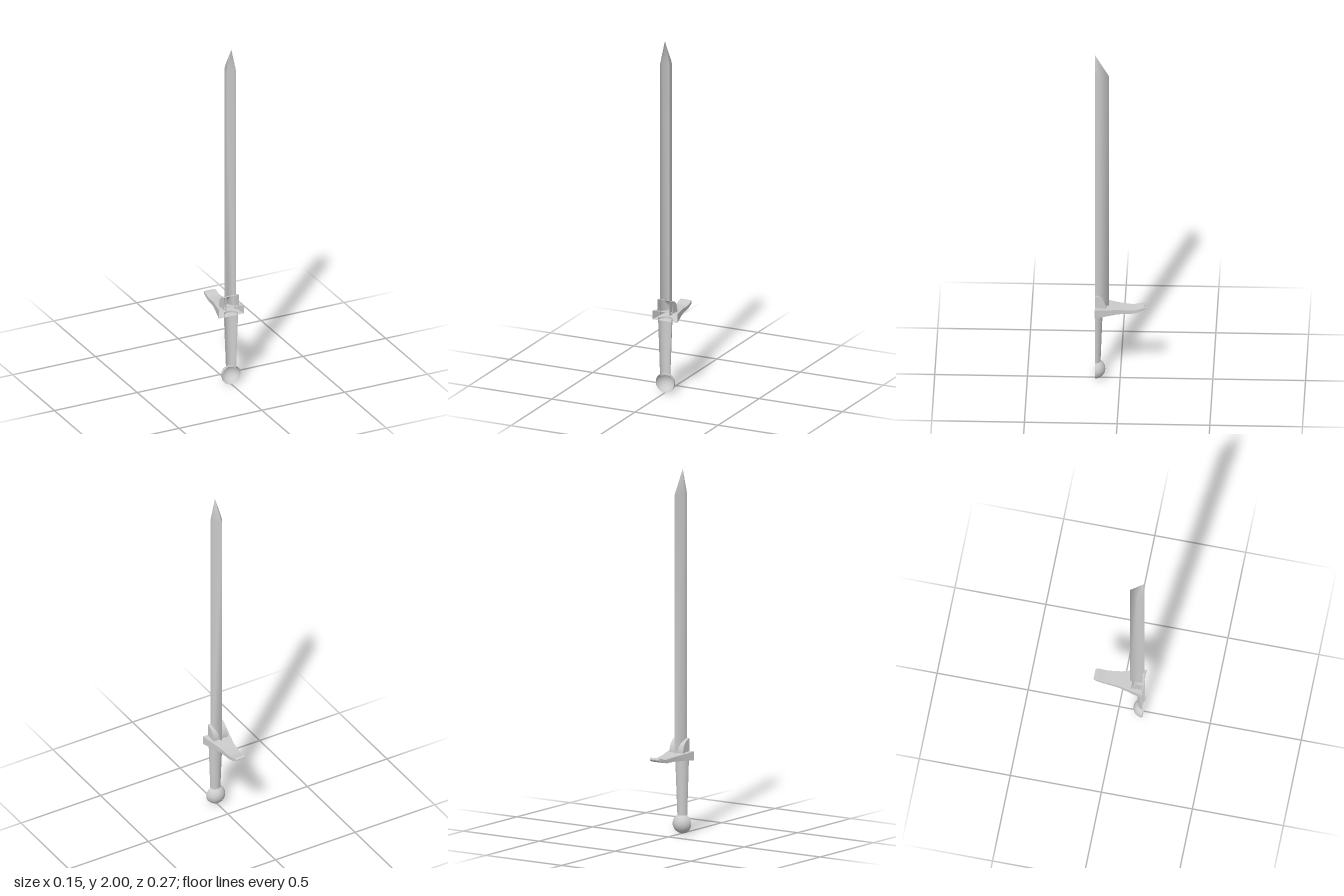
import * as THREE from 'three';
import { toCreasedNormals } from 'three/addons/utils/BufferGeometryUtils.js';

const FRONT = 0.135; // open cut plane of the half sword
const material = new THREE.MeshStandardMaterial({ color: 0xcccccc, side: THREE.DoubleSide });

// Skin between cross-sections given as equal-length lists of [x, y, z]
function loft(sections, closed, capEnd) {
  const n = sections[0].length, index = [];
  for (let s = 0; s < sections.length - 1; s++) {
    for (let i = 0; i < (closed ? n : n - 1); i++) {
      const a = s * n + i, b = s * n + (i + 1) % n;
      index.push(a, b, b + n, a, b + n, a + n);
    }
  }
  if (capEnd) {
    const o = (sections.length - 1) * n;
    for (let i = 1; i < n - 1; i++) index.push(o, o + i, o + i + 1);
  }
  const geometry = new THREE.BufferGeometry();
  geometry.setAttribute('position', new THREE.Float32BufferAttribute(sections.flat(2), 3));
  geometry.setIndex(index);
  geometry.computeVertexNormals();
  return geometry;
}

export function createModel() {
  const sword = new THREE.Group();
  sword.name = 'sword';
  const add = (name, geometry, y = 0, z = 0) => {
    const mesh = new THREE.Mesh(geometry, material);
    mesh.name = name;
    mesh.position.set(0, y, z);
    sword.add(mesh);
  };

  // Blade: half of a ridged section, drawn to a point at the top
  const outline = [[0.028, 0], [0.028, -0.028], [0, -0.076], [-0.028, -0.028], [-0.028, 0]];
  const ring = (y, k) => outline.map(([x, z]) => [x * k, y, z * k]);
  add('blade', loft([ring(0.44, 1), ring(1.87, 1), ring(2, 0.001)], false), 0, FRONT);

  // Crossguard: tapering bar along z with an upturned end [z, half width, bottom, top]
  const stations = [
    [FRONT, 0.075, 0.407, 0.457], [0.07, 0.059, 0.413, 0.45], [0.005, 0.043, 0.418, 0.444],
    [-0.065, 0.036, 0.418, 0.438], [-0.09, 0.035, 0.423, 0.441],
    [-0.115, 0.034, 0.431, 0.45], [-0.128, 0.031, 0.437, 0.451], [-0.135, 0.027, 0.441, 0.447],
  ];
  const bar = stations.map(([z, w, lo, hi]) => [[-w, lo, z], [-w, hi, z], [w, hi, z], [w, lo, z]]);
  add('crossguard', toCreasedNormals(loft(bar, true, true), 0.9));

  // Blade collar: quarter-round block above the guard
  const collar = new THREE.CylinderGeometry(1, 1, 0.09, 12, 1, false, Math.PI / 2, Math.PI / 2);
  collar.rotateZ(Math.PI / 2).scale(1, 0.075, 0.061);
  add('collar', collar, 0.45, FRONT);

  // Grip: half of a tapered handle
  const grip = new THREE.CylinderGeometry(0.041, 0.029, 0.33, 16, 1, true, Math.PI / 2, Math.PI);
  add('grip', grip.scale(1, 1, 1), 0.255, FRONT);

  // Pommel: half ball
  add('pommel', new THREE.SphereGeometry(0.055, 16, 16, Math.PI, Math.PI), 0.055, FRONT);

  return sword;
}
